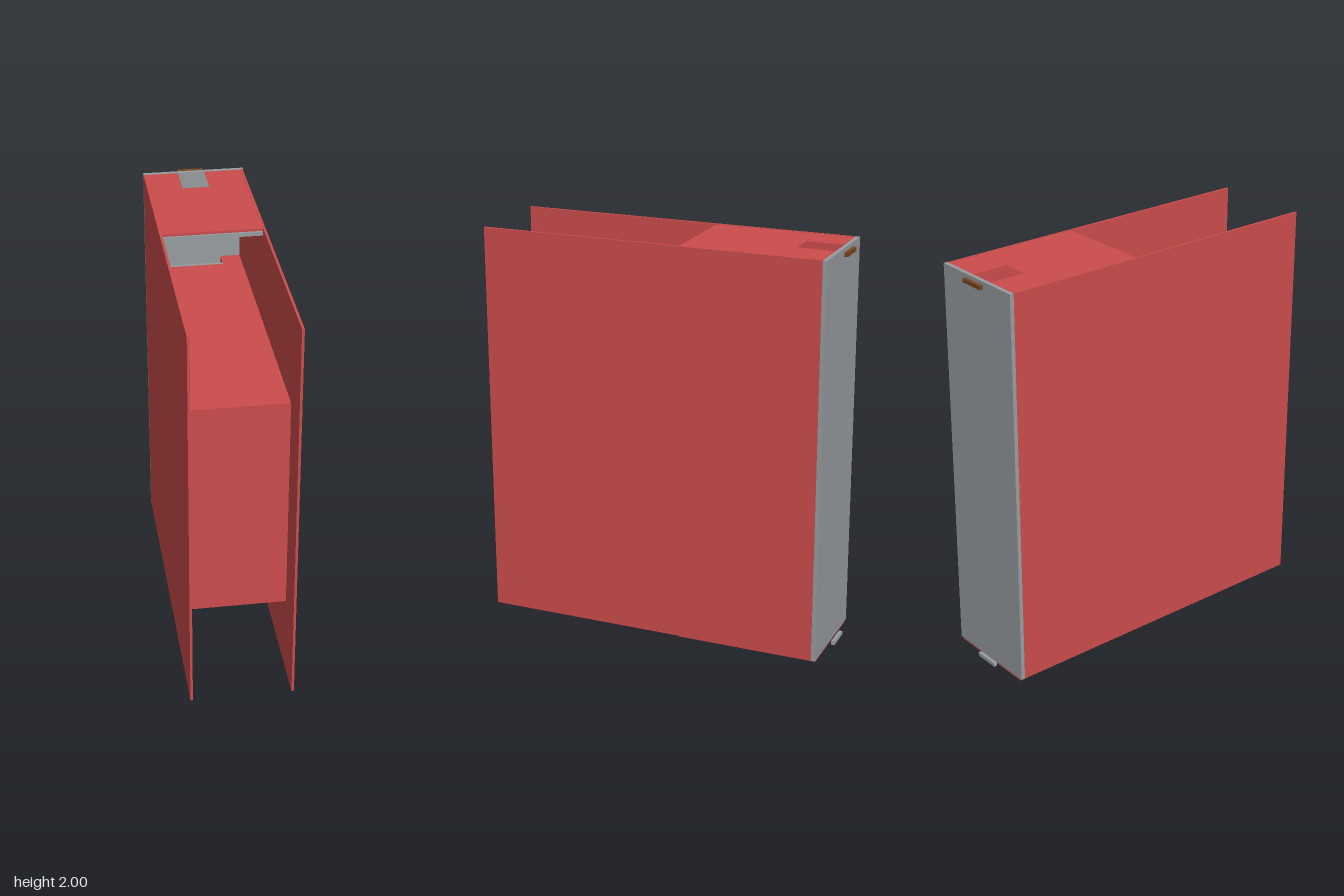
import * as THREE from 'three';

const red = new THREE.MeshStandardMaterial({ color: 0xcc4c4c });
const grey = new THREE.MeshStandardMaterial({ color: 0x979da0 });
const brown = new THREE.MeshStandardMaterial({ color: 0x7a4520 });

// Box given by its min and max on each axis
function box(name, material, [x0, x1], [y0, y1], [z0, z1]) {
  const mesh = new THREE.Mesh(new THREE.BoxGeometry(x1 - x0, y1 - y0, z1 - z0), material);
  mesh.position.set((x0 + x1) / 2, (y0 + y1) / 2, (z0 + z1) / 2);
  mesh.name = name;
  return mesh;
}

// Closed outline from [x, z] corners; z is negated so the extrusion can be laid flat
function outline(points, Type = THREE.Shape) {
  return new Type(points.map(([x, z]) => new THREE.Vector2(x, -z)));
}

const rect = (x0, x1, z0, z1) => [[x0, z0], [x1, z0], [x1, z1], [x0, z1]];

// Plan outline raised from y0 to y1
function slab(name, material, shape, y0, y1) {
  const geometry = new THREE.ExtrudeGeometry(shape, { depth: y1 - y0, bevelEnabled: false });
  geometry.rotateX(-Math.PI / 2);
  geometry.translate(0, y0, 0);
  const mesh = new THREE.Mesh(geometry, material);
  mesh.name = name;
  return mesh;
}

export function createModel() {
  const model = new THREE.Group();
  model.name = 'case';

  // Tall side walls
  for (const [name, x] of [['rightWall', [-0.255, -0.243]], ['leftWall', [0.238, 0.25]]]) {
    model.add(box(name, red, x, [0.01, 2], [-0.828, 0.883]));
  }

  // Back panel
  model.add(box('backPanel', grey, [-0.255, 0.253], [0.01, 2], [-0.848, -0.828]));

  // Top and bottom panels, each with a slot at the back and a lip at the front edge
  for (const [name, y0, y1, lip, back] of [
    ['top', 1.985, 1.998, [1.965, 1.985], -0.828],
    ['bottom', 0, 0.012, [0.012, 0.032], -0.846],
  ]) {
    const plan = outline(rect(-0.243, 0.238, back, -0.128));
    plan.holes.push(outline(rect(-0.08, 0.052, -0.827, -0.64), THREE.Path));
    model.add(slab(name + 'Panel', red, plan, y0, y1));
    model.add(box(name + 'Lip', grey, [-0.243, 0.238], lip, [-0.13, -0.118]));
  }

  // Inner block, notched at the back, with a plate lining the notch
  const block = outline([
    [-0.24, 0.688], [0.237, 0.688], [0.237, -0.845], [0.137, -0.845],
    [0.137, -0.735], [-0.16, -0.735], [-0.16, -0.845], [-0.24, -0.845],
  ]);
  model.add(slab('innerBlock', red, block, 0.408, 1.52));
  model.add(box('notchPlate', grey, [-0.16, 0.137], [0.406, 1.522], [-0.75, -0.735]));

  // Small bars behind the back panel
  model.add(box('upperBar', brown, [-0.078, 0.052], [1.975, 1.994], [-0.884, -0.866]));
  model.add(box('lowerBar', grey, [-0.078, 0.052], [0.01, 0.029], [-0.884, -0.866]));

  return model;
}
